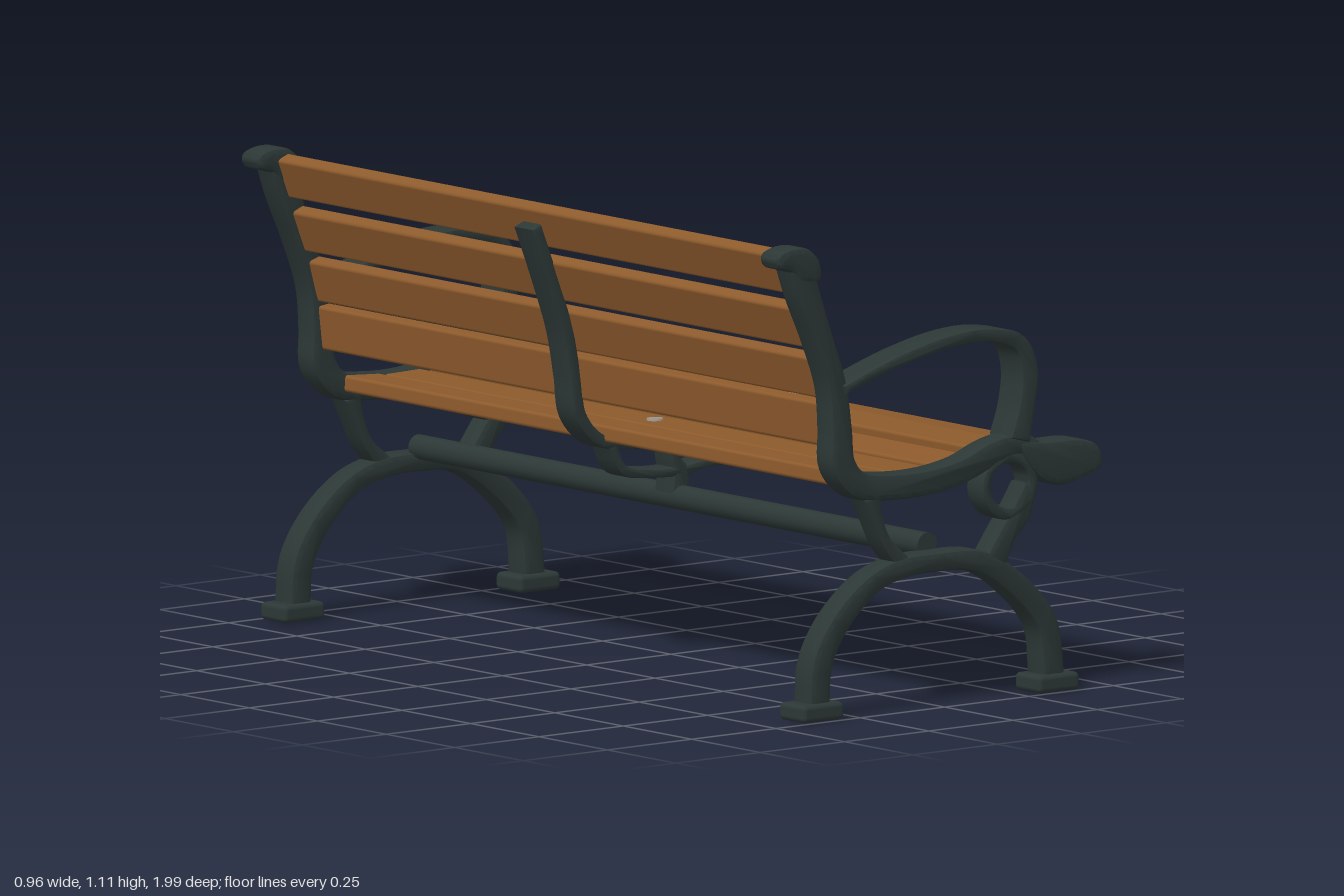
import * as THREE from 'three';
import { toCreasedNormals } from 'three/addons/utils/BufferGeometryUtils.js';
import { RoundedBoxGeometry } from 'three/addons/geometries/RoundedBoxGeometry.js';

const material = (name, color) => {
  const m = new THREE.MeshStandardMaterial({ color });
  m.name = name;
  return m;
};
const iron = material('dark iron', 0x2c3836);
const wood = material('brown wood', 0x8c5a2c);
const steel = material('bolt grey', 0x98928a);

function add(parent, name, geometry, mat, x = 0, y = 0, z = 0) {
  const mesh = new THREE.Mesh(geometry, mat);
  mesh.name = name;
  mesh.position.set(x, y, z);
  parent.add(mesh);
  return mesh;
}

// Extrude an outline along z, centred on z = 0, with softened edges
function casting(shape, depth, bevel) {
  const g = new THREE.ExtrudeGeometry(shape, {
    depth: depth - 2 * bevel, bevelThickness: bevel, bevelSize: bevel,
    bevelOffset: -bevel, bevelSegments: 2, curveSegments: 24,
  });
  g.translate(0, 0, bevel - depth / 2);
  return toCreasedNormals(g, 0.75);
}

// Curved bar through points [x, y, width]
function band(points, depth, steps = 36) {
  const curve = new THREE.CatmullRomCurve3(points.map(p => new THREE.Vector3(...p)));
  const a = [], b = [];
  for (let i = 0; i <= steps; i++) {
    const p = curve.getPoint(i / steps), t = curve.getTangent(i / steps);
    const k = p.z / 2 / Math.hypot(t.x, t.y);
    a.push(new THREE.Vector2(p.x - t.y * k, p.y + t.x * k));
    b.unshift(new THREE.Vector2(p.x + t.y * k, p.y - t.x * k));
  }
  const thinnest = Math.min(...points.map(p => p[2]));
  return casting(new THREE.Shape([...a, ...b]), depth, Math.min(0.014, thinnest * 0.35));
}

// Closed smooth outline
function blob(points, depth) {
  const curve = new THREE.CatmullRomCurve3(
    points.map(p => new THREE.Vector3(p[0], p[1], 0)), true);
  const outline = curve.getPoints(40).slice(0, -1).map(p => new THREE.Vector2(p.x, p.y));
  return casting(new THREE.Shape(outline), depth, 0.014);
}

function endFrame() {
  const g = new THREE.Group();
  g.name = 'endFrame';
  // Back post sweeping into the seat rail
  add(g, 'backPostAndSeatRail', band([
    [-0.405, 1.07, 0.07], [-0.382, 1.0, 0.066], [-0.338, 0.89, 0.056], [-0.297, 0.775, 0.055],
    [-0.284, 0.67, 0.062], [-0.278, 0.59, 0.07], [-0.235, 0.542, 0.066], [-0.15, 0.527, 0.062],
    [-0.03, 0.526, 0.06], [0.08, 0.543, 0.06], [0.17, 0.575, 0.06], [0.25, 0.588, 0.05],
    [0.31, 0.558, 0.05]], 0.068, 60), iron);
  add(g, 'postHead', blob([[-0.478, 1.095], [-0.45, 1.11], [-0.39, 1.108], [-0.355, 1.08],
    [-0.35, 1.03], [-0.41, 1.03], [-0.435, 1.055], [-0.475, 1.07]], 0.074), iron);
  // Front nose of the seat rail
  add(g, 'seatNose', blob([[0.24, 0.59], [0.32, 0.588], [0.42, 0.584], [0.475, 0.56],
    [0.482, 0.515], [0.44, 0.495], [0.36, 0.482], [0.29, 0.51]], 0.078), iron);
  add(g, 'armrest', band([[-0.285, 0.768, 0.022], [-0.2, 0.797, 0.025], [-0.09, 0.828, 0.028],
    [0.04, 0.852, 0.03], [0.15, 0.853, 0.032], [0.235, 0.825, 0.04], [0.263, 0.76, 0.047],
    [0.255, 0.68, 0.046], [0.235, 0.6, 0.058]], 0.088, 48), iron);
  // Open ring under the seat front
  const ring = new THREE.Shape();
  ring.absellipse(0.213, 0.495, 0.083, 0.08, 0, Math.PI * 2);
  const hole = new THREE.Path();
  hole.absellipse(0.213, 0.495, 0.056, 0.052, 0, Math.PI * 2);
  ring.holes.push(hole);
  add(g, 'seatRing', casting(ring, 0.064, 0.009), iron);
  add(g, 'frontStem', band([[0.277, 0.49, 0.04], [0.25, 0.43, 0.06], [0.205, 0.375, 0.055],
    [0.17, 0.315, 0.07]], 0.064, 20), iron);
  add(g, 'rearStem', band([[-0.195, 0.51, 0.05], [-0.175, 0.45, 0.034], [-0.148, 0.395, 0.032],
    [-0.095, 0.34, 0.045]], 0.06, 20), iron);
  // Arched legs
  add(g, 'legArch', band([[-0.352, 0.03, 0.062], [-0.342, 0.135, 0.062], [-0.29, 0.223, 0.058],
    [-0.195, 0.303, 0.052], [-0.105, 0.333, 0.05], [0, 0.338, 0.046], [0.12, 0.328, 0.052],
    [0.228, 0.267, 0.06], [0.322, 0.165, 0.062], [0.344, 0.03, 0.064]], 0.07, 60), iron);
  for (const x of [-0.352, 0.346])
    add(g, 'foot', new RoundedBoxGeometry(0.122, 0.042, 0.095, 2, 0.012), iron, x, 0.024, 0);
  return g;
}

// Plank along z with bolts on its face; angle turns it about z
function slat(parent, name, x, y, width, angle, boltZ) {
  const g = new THREE.Group();
  g.name = name;
  g.position.set(x, y, 0);
  g.rotation.z = angle;
  add(g, 'plank', new RoundedBoxGeometry(width, 0.038, 1.85, 2, 0.008), wood);
  for (const z of boltZ)
    add(g, 'bolt', new THREE.CylinderGeometry(0.019, 0.021, 0.006, 12), steel, 0, 0.02, z);
  parent.add(g);
}

export function createModel() {
  const bench = new THREE.Group();
  bench.name = 'bench';

  for (const z of [-0.948, 0.948]) {
    const frame = endFrame();
    frame.position.z = z;
    bench.add(frame);
  }

  // Backrest: [x, y, width, lean, bolt positions]
  for (const [x, y, w, lean, bolts] of [
    [-0.39, 1.045, 0.1, 0.38, [-0.905, 0, 0.905]],
    [-0.343, 0.917, 0.104, 0.38, [-0.905, 0, 0.905]],
    [-0.299, 0.795, 0.102, 0.28, [0]],
    [-0.278, 0.682, 0.104, 0.12, [0]],
  ]) slat(bench, 'backSlat', x, y, w, lean - Math.PI / 2, bolts);

  // Seat: [x, y, width, tilt, bolt positions]
  for (const [x, y, w, tilt, bolts] of [
    [-0.17, 0.54, 0.11, -0.06, []],
    [-0.047, 0.535, 0.11, 0.02, [0]],
    [0.083, 0.545, 0.108, 0.12, [0]],
    [0.215, 0.567, 0.118, 0.05, [0]],
    [0.355, 0.553, 0.112, -0.1, [0]],
  ]) slat(bench, 'seatSlat', x, y, w, tilt, bolts);

  // Middle rib behind the backrest and beneath the seat
  add(bench, 'middleRib', band([[-0.425, 1.045, 0.03], [-0.372, 0.91, 0.03], [-0.33, 0.79, 0.03],
    [-0.308, 0.68, 0.03], [-0.292, 0.59, 0.032], [-0.235, 0.53, 0.03], [-0.14, 0.512, 0.026],
    [0, 0.51, 0.024], [0.14, 0.532, 0.02]], 0.072, 50), iron);
  // Hanging strap and its link to the long bar
  add(bench, 'middleStrap', band([[-0.2, 0.515, 0.024], [-0.165, 0.453, 0.024],
    [-0.08, 0.436, 0.02], [0.01, 0.434, 0.022], [0.1, 0.446, 0.02], [0.26, 0.442, 0.02],
    [0.285, 0.48, 0.02], [0.3, 0.535, 0.02]], 0.072, 40), iron);
  add(bench, 'middleLink', band([[-0.018, 0.515, 0.024], [-0.01, 0.465, 0.026],
    [0.005, 0.43, 0.045], [0.002, 0.37, 0.05]], 0.072, 16), iron);
  const bar = add(bench, 'longBar', new THREE.CylinderGeometry(0.029, 0.029, 1.86, 16), iron,
    0.005, 0.372, 0);
  bar.rotation.x = Math.PI / 2;

  return bench;
}
